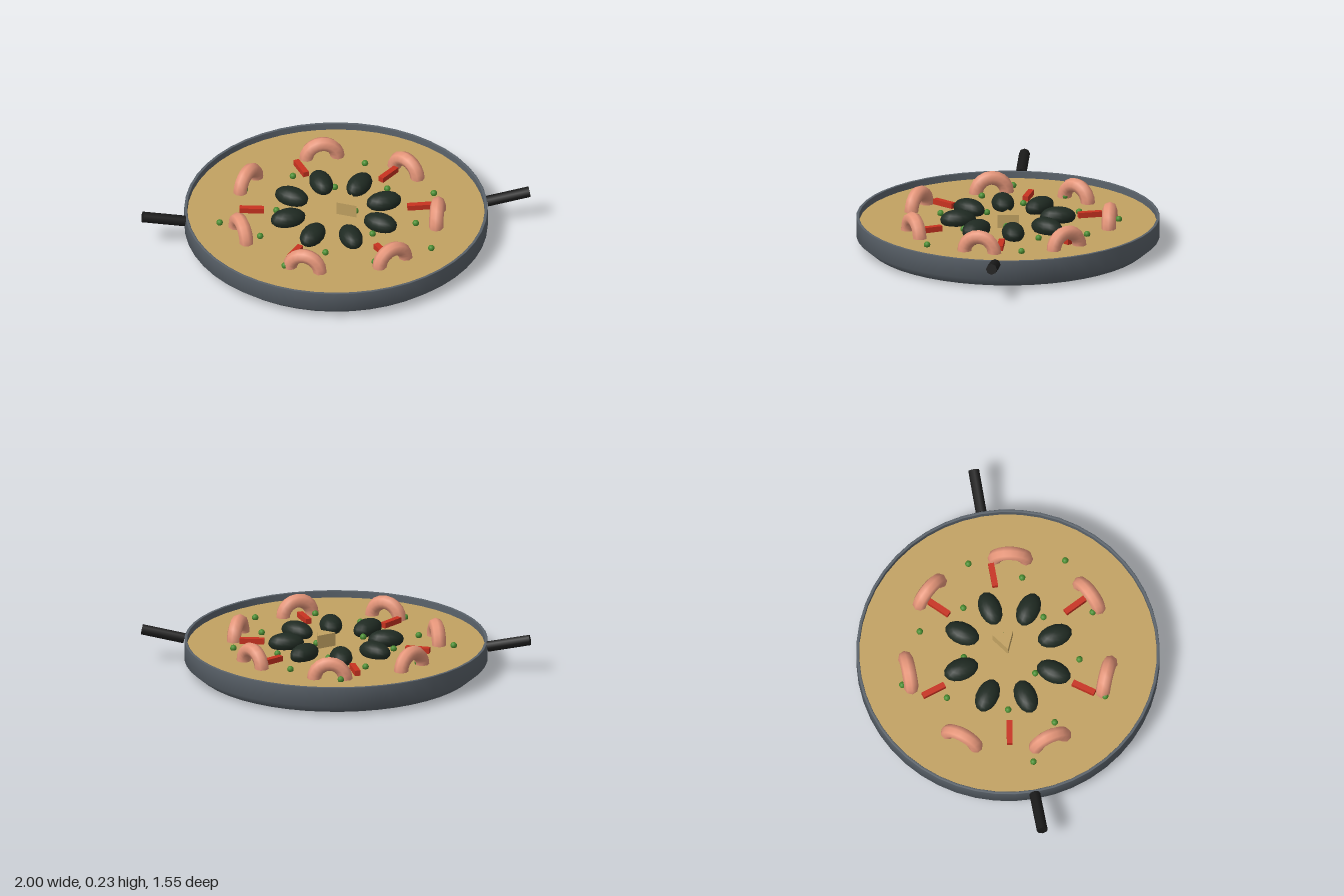
import * as THREE from 'three';
import { toCreasedNormals } from 'three/addons/utils/BufferGeometryUtils.js';

const mat = (name, color) => Object.assign(new THREE.MeshStandardMaterial({ color }), { name });

export function createModel() {
  const steel = mat('pan steel', 0x5a626a);
  const black = mat('handle black', 0x1a1a1a);
  const riceTan = mat('rice tan', 0xc2a262);
  const shell = mat('mussel shell', 0x1f2a22);
  const pink = mat('prawn pink', 0xe6967a);
  const red = mat('pepper red', 0xc83220);
  const green = mat('pea green', 0x4a8c30);

  const model = new THREE.Group();
  model.name = 'paellaPan';
  const RICE_Y = 0.115;

  const add = (name, geometry, material, x = 0, y = 0, z = 0, turn = 0) => {
    const mesh = new THREE.Mesh(geometry, material);
    mesh.name = name;
    mesh.position.set(x, y, z);
    mesh.rotation.y = turn;
    model.add(mesh);
    return mesh;
  };
  // Place a part at a polar position, its x axis pointing outwards
  const addPolar = (name, geometry, material, radius, angle, y, turn = 0) =>
    add(name, geometry, material, radius * Math.cos(angle), y, radius * Math.sin(angle), turn - angle);

  // Pan: flat base, sloped lower wall, thin upright rim
  const profile = [[0, 0], [0.7, 0], [0.718, 0.002], [0.775, 0.05], [0.775, 0.148],
    [0.773, 0.15], [0.762, 0.15], [0.76, 0.148], [0.76, 0.1]]
    .map(([r, y]) => new THREE.Vector2(r, y));
  add('pan', new THREE.LatheGeometry(profile, 48), steel);

  // Rice filling
  add('rice', new THREE.CylinderGeometry(0.76, 0.76, 0.03, 48), riceTan, 0, RICE_Y - 0.015, 0);

  // Two handles, tilted up and outwards
  for (const side of [-1, 1]) {
    const handle = add('handle', new THREE.CylinderGeometry(0.028, 0.028, 0.222, 8), black, side * 0.886, 0.153, 0);
    handle.rotation.z = side * (-Math.PI / 2 + 0.19);
  }

  // Ring of mussels
  const musselGeo = new THREE.SphereGeometry(1, 14, 10).scale(0.092, 0.05, 0.058);
  for (let i = 0; i < 8; i++) {
    addPolar('mussel', musselGeo, shell, 0.256, -0.187 + i * Math.PI / 4, 0.14);
  }

  // Ring of arched prawns
  const prawnGeo = new THREE.TorusGeometry(0.08, 0.037, 8, 10, Math.PI);
  for (let i = 0; i < 7; i++) {
    addPolar('prawn', prawnGeo, pink, 0.52, 0.2 + i * Math.PI * 2 / 7, RICE_Y - 0.002, Math.PI / 2);
  }

  // Pepper strips
  const stripGeo = new THREE.BoxGeometry(0.125, 0.028, 0.03);
  for (let i = 0; i < 6; i++) addPolar('pepperStrip', stripGeo, red, 0.43, i * 1.1, 0.129);

  // Peas scattered in a spiral
  const peaGeo = new THREE.SphereGeometry(0.017, 10, 8);
  for (let i = 0; i < 18; i++) {
    addPolar('pea', peaGeo, green, Math.sqrt(0.01 + 0.0207 * i), i * 2.4, 0.125);
  }

  // Wedge in the middle
  const wedgeGeo = toCreasedNormals(new THREE.CylinderGeometry(0.063, 0.063, 0.07, 3, 1, false, -Math.PI / 2), 0.5);
  add('centreWedge', wedgeGeo, riceTan, 0.064, 0.15, -0.006, 0.1);

  return model;
}
